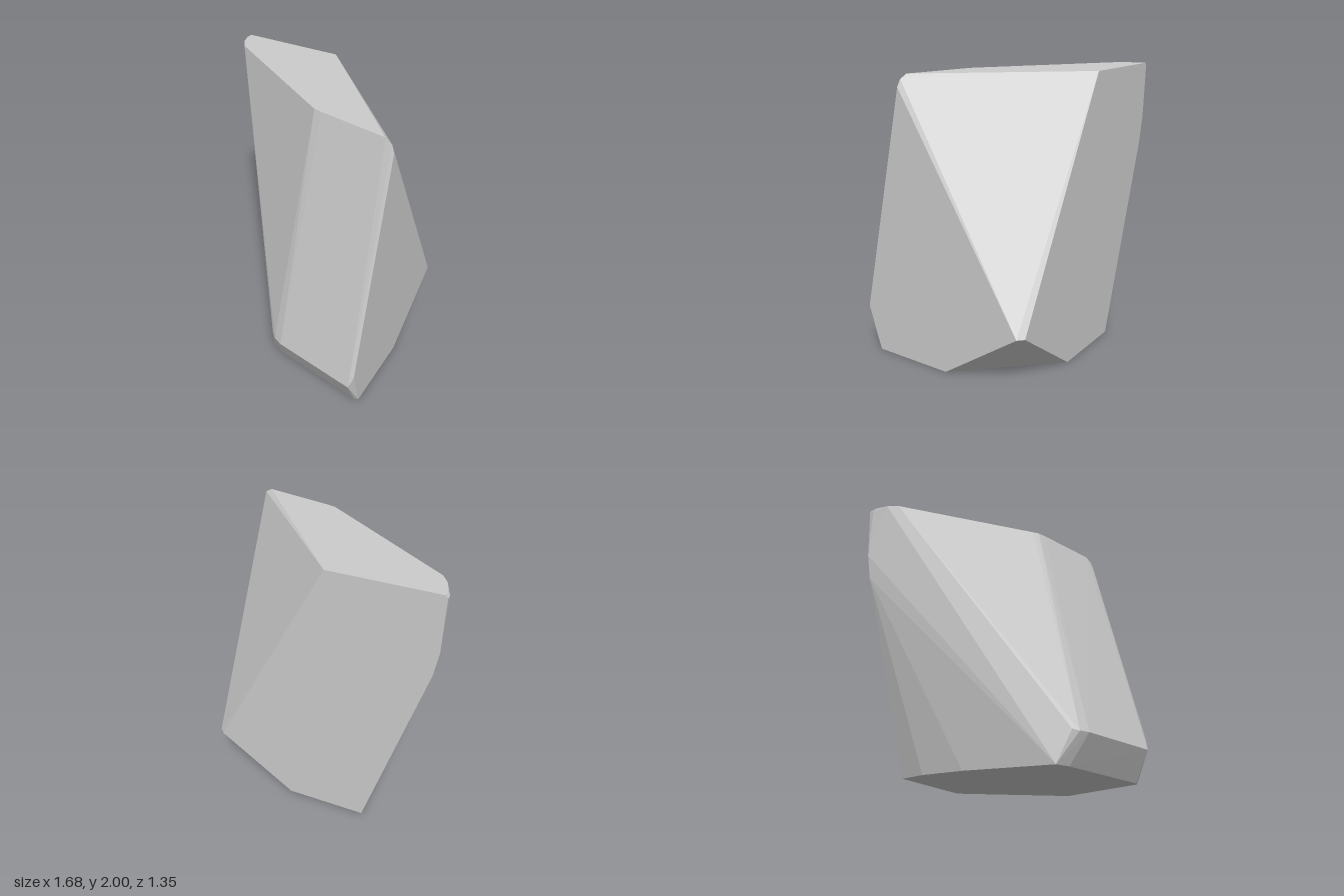
import * as THREE from 'three';
import { ConvexGeometry } from 'three/addons/geometries/ConvexGeometry.js';

// Corner loops [x, y, z] of the faceted stone; their convex hull is the surface.
const topFace = [
  [-0.83, 2, -0.67], [-0.83, 2, -0.62], [-0.80, 2, -0.53], [-0.75, 2, -0.46],
  [0.18, 2, 0.14], [0.22, 2, 0.165], [0.28, 2, 0.18], [0.77, 2, 0.27], [-0.08, 2, -0.67],
];
const leftRim = [
  [-0.845, 1.98, -0.67], [-0.845, 1.98, -0.63], [-0.825, 1.6, -0.67], [-0.79, 1.42, -0.67],
];
const frontRim = [
  [0.08, 0.24, 0.50], [0.12, 0.23, 0.535], [0.19, 0.23, 0.565], [0.81, 0.23, 0.675],
];
const rightFace = [
  [0.84, 0, 0.55], [0.84, 0.32, 0.65], [0.84, 1.92, 0.29], [0.82, 1.97, 0.28],
  [0.84, 0.4, -0.63], [0.84, 0, -0.05],
];
const base = [
  [0.81, 0, 0.56], [0.12, 0, 0.44], [0.02, 0, 0.40], [-0.235, 0, -0.195],
  [-0.32, 0, -0.486], [-0.33, 0, -0.67], [0.25, 0, -0.67], [0.79, 0, -0.10],
];
const backCorner = [[0.80, 0.4, -0.67]];

export function createModel() {
  const group = new THREE.Group();
  group.name = 'stone';

  const corners = [topFace, leftRim, frontRim, rightFace, base, backCorner]
    .flat()
    .map((p) => new THREE.Vector3(...p));

  // The hull carries one normal per face, keeping every facet crisp.
  const rock = new THREE.Mesh(
    new ConvexGeometry(corners),
    new THREE.MeshStandardMaterial({ color: 0xcccccc, flatShading: true }),
  );
  rock.name = 'rock';
  group.add(rock);
  return group;
}
